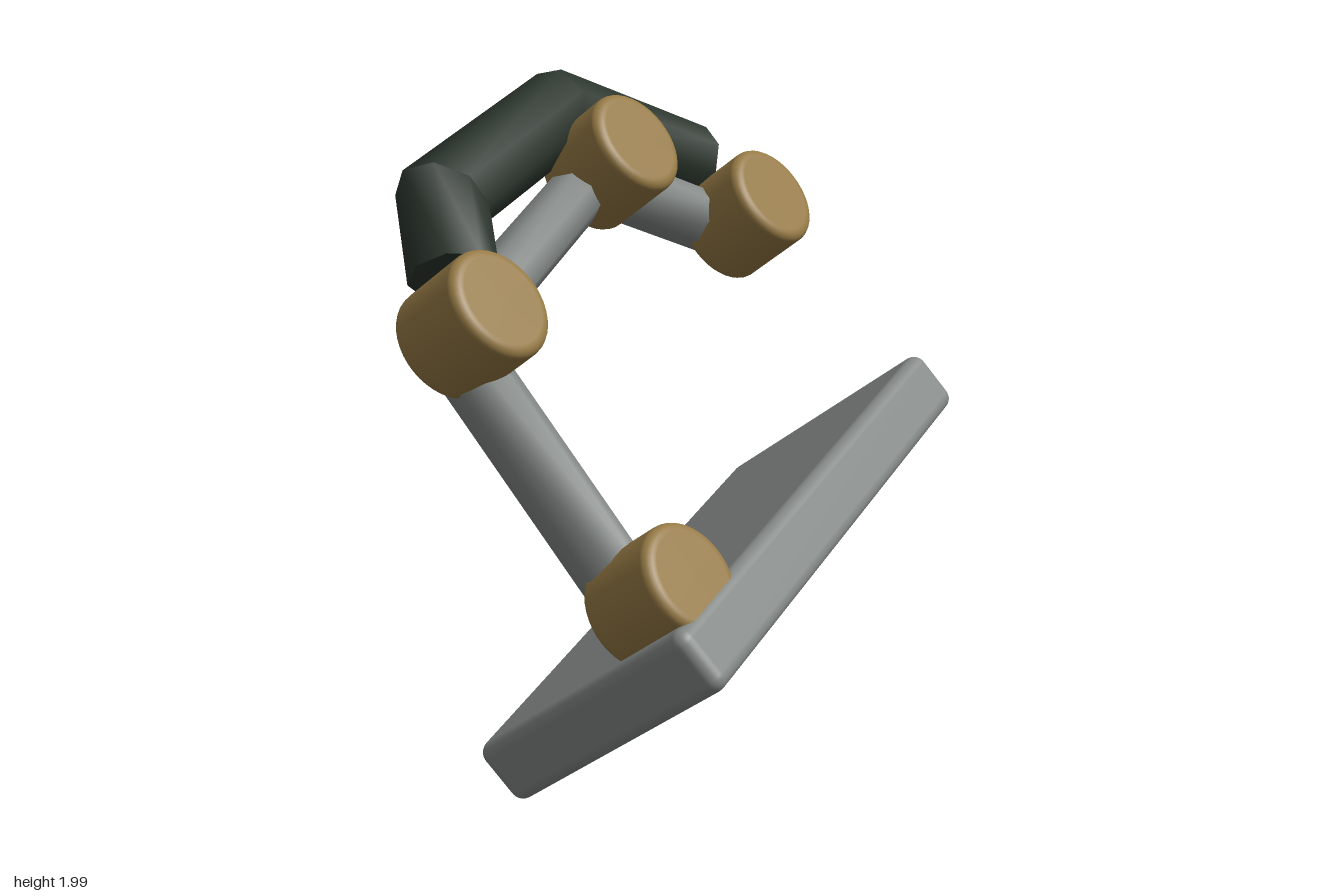
import * as THREE from 'three';
import { RoundedBoxGeometry } from 'three/addons/geometries/RoundedBoxGeometry.js';

// Sweep an elliptical section along a flat polyline with mitred bends and capped ends.
// a = half-width across the plane (z), b = half-width within the plane.
function mitredTube(path, a, b, z, sides = 8) {
  const pts = path.map(([x, y]) => new THREE.Vector2(x, y));
  const last = pts.length - 1;
  const dir = (i) => pts[i + 1].clone().sub(pts[i]).normalize();
  const rings = pts.map((p, i) => {
    const d0 = dir(Math.max(i - 1, 0));
    const d1 = dir(Math.min(i, last - 1));
    const d = d0.clone().add(d1).normalize();
    const stretch = b / d.dot(d1);
    return Array.from({ length: sides }, (_, k) => {
      const t = (k / sides) * Math.PI * 2;
      const c = Math.cos(t) * stretch;
      return [p.x - d.y * c, p.y + d.x * c, z + Math.sin(t) * a];
    });
  });
  const pos = [];
  const index = [];
  // each straight run has its own rings, so bends stay sharp
  for (let s = 0; s < last; s++) {
    const o = pos.length / 3;
    pos.push(...rings[s].flat(), ...rings[s + 1].flat());
    for (let k = 0; k < sides; k++) {
      const n = (k + 1) % sides;
      index.push(o + k, o + n, o + sides + k, o + n, o + sides + n, o + sides + k);
    }
  }
  // end caps
  for (const [i, flip] of [[0, true], [last, false]]) {
    const o = pos.length / 3;
    pos.push(...rings[i].flat());
    for (let k = 1; k < sides - 1; k++) {
      if (flip) index.push(o, o + k + 1, o + k);
      else index.push(o, o + k, o + k + 1);
    }
  }
  const geo = new THREE.BufferGeometry();
  geo.setAttribute('position', new THREE.Float32BufferAttribute(pos, 3));
  geo.setIndex(index);
  geo.computeVertexNormals();
  return geo;
}

// Drum with rounded rims, axis along z.
function roundedDrum(radius, half, r) {
  const profile = [new THREE.Vector2(0, -half), new THREE.Vector2(radius - r - 0.004, -half)];
  for (const side of [-1, 1]) {
    for (let i = 0; i <= 5; i++) {
      const t = side < 0 ? -Math.PI / 2 + (i / 5) * Math.PI / 2 : (i / 5) * Math.PI / 2;
      profile.push(new THREE.Vector2(radius - r + r * Math.cos(t), side * (half - r) + r * Math.sin(t)));
    }
  }
  profile.push(new THREE.Vector2(radius - r - 0.004, half), new THREE.Vector2(0, half));
  return new THREE.LatheGeometry(profile, 40).rotateX(Math.PI / 2);
}

export function createModel() {
  const material = (name, color) => {
    const m = new THREE.MeshStandardMaterial({ color });
    m.name = name;
    return m;
  };
  const grey = material('steel grey', 0x858a88);
  const gold = material('bronze', 0x967a45);
  const dark = material('dark green', 0x2c362d);

  const model = new THREE.Group();
  model.name = 'jointedArm';
  const arm = new THREE.Group();
  arm.name = 'tiltedAssembly';
  model.add(arm);
  const add = (name, geometry, mat) => {
    const mesh = new THREE.Mesh(geometry, mat);
    mesh.name = name;
    arm.add(mesh);
    return mesh;
  };

  // base plate, with the arm's plane along its length
  add('basePlate', new RoundedBoxGeometry(1.79, 0.2, 0.886, 4, 0.04), grey);

  // joint drums
  const joints = [[-0.688, 0.167], [-0.596, 1.056], [0.382, 1.177], [0.796, 0.785]];
  const drum = roundedDrum(0.166, 0.14, 0.03);
  joints.forEach(([x, y], i) => add('joint' + (i + 1), drum, gold).position.set(x, y, 0.295));

  // linkage behind the drums
  add('armLinks', mitredTube(joints, 0.105, 0.09, 0.2), grey);

  // hose running outside the linkage
  const hose = [[-0.42, 1.19], [-0.245, 1.385], [0.45, 1.4], [0.87, 1.013]];
  add('hose', mitredTube(hose, 0.13, 0.13, 0.2), dark);

  // tilt the whole assembly onto one plate corner
  const along = new THREE.Vector3(0.805, 0.249, -0.539).normalize();
  const up = new THREE.Vector3(-0.494, 0.785, -0.375);
  up.addScaledVector(along, -up.dot(along)).normalize();
  const across = along.clone().cross(up);
  arm.quaternion.setFromRotationMatrix(new THREE.Matrix4().makeBasis(along, up, across));
  arm.position.set(0.1, 0.53, 0);
  return model;
}
